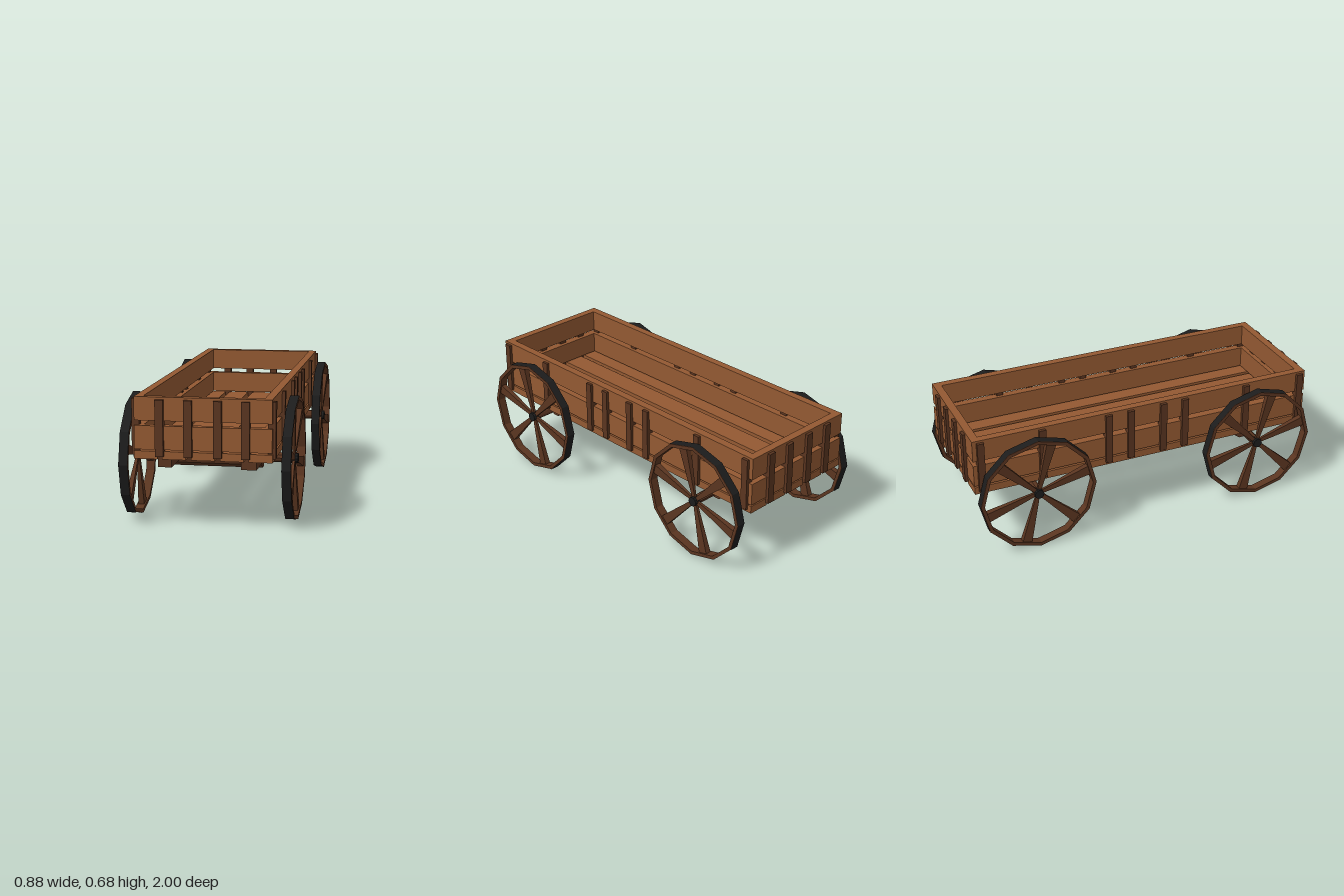
import * as THREE from 'three';

const mat = (color) => new THREE.MeshStandardMaterial({ color, flatShading: true });
const plankMat = mat(0x935932);
const darkMat = mat(0x5a3520);
const ironMat = mat(0x1c1c1c);

// Box given by its minimum and maximum on each axis
function box(parent, name, [x0, x1], [y0, y1], [z0, z1], material) {
  const mesh = new THREE.Mesh(new THREE.BoxGeometry(x1 - x0, y1 - y0, z1 - z0), material);
  mesh.position.set((x0 + x1) / 2, (y0 + y1) / 2, (z0 + z1) / 2);
  mesh.name = name;
  parent.add(mesh);
  return mesh;
}

// Cylinder lying along x
function rod(parent, name, radius, length, sides, x, y, z, material) {
  const geo = new THREE.CylinderGeometry(radius, radius, length, sides).rotateZ(Math.PI / 2);
  const mesh = new THREE.Mesh(geo, material);
  mesh.position.set(x, y, z);
  mesh.name = name;
  parent.add(mesh);
  return mesh;
}

const R = 0.327, RIM = 0.022, WIDTH = 0.047, SIDES = 12, SPOKES = 6;

function makeWheel() {
  const wheel = new THREE.Group();
  wheel.name = 'wheel';

  // Wooden rim: twelve-sided ring extruded along x
  const ring = (r) => Array.from({ length: SIDES }, (_, i) => {
    const a = (i / SIDES) * Math.PI * 2;
    return new THREE.Vector2(Math.cos(a) * r, Math.sin(a) * r);
  });
  const shape = new THREE.Shape(ring(R - 0.002));
  shape.holes.push(new THREE.Path(ring(R - RIM)));
  const rimGeo = new THREE.ExtrudeGeometry(shape, { depth: WIDTH, bevelEnabled: false });
  rimGeo.translate(0, 0, -WIDTH / 2).rotateY(Math.PI / 2);
  const rim = new THREE.Mesh(rimGeo, darkMat);
  rim.name = 'rim';
  wheel.add(rim);

  // Iron tyre around the rim
  const tyreGeo = new THREE.CylinderGeometry(R, R, WIDTH, SIDES, 1, true);
  tyreGeo.rotateZ(Math.PI / 2);
  const tyre = new THREE.Mesh(tyreGeo, ironMat);
  tyre.name = 'tyre';
  wheel.add(tyre);

  // Spokes flare from the hub towards the rim
  const length = R - RIM;
  const spokeGeo = new THREE.CylinderGeometry(0.039, 0.013, length, 4, 1);
  spokeGeo.rotateY(Math.PI / 4).scale(0.6, 1, 1).translate(0, length / 2, 0);
  for (let i = 0; i < SPOKES; i++) {
    const spoke = new THREE.Mesh(spokeGeo, darkMat);
    spoke.rotation.x = Math.PI / 12 + (i / SPOKES) * Math.PI * 2;
    spoke.name = 'spoke';
    wheel.add(spoke);
  }

  // Iron hub cap
  rod(wheel, 'hubCap', 0.026, WIDTH - 0.004, 10, 0, 0, 0, ironMat);
  return wheel;
}

export function createModel() {
  const wagon = new THREE.Group();
  wagon.name = 'wagon';

  // Bed: five floor planks and slatted walls
  const bed = new THREE.Group();
  bed.name = 'bed';
  wagon.add(bed);
  const planks = [[-0.355, -0.235], [-0.21, -0.09], [-0.062, 0.057], [0.083, 0.203], [0.228, 0.347]];
  for (const x of planks) box(bed, 'floorPlank', x, [0.364, 0.405], [-0.983, 0.98], plankMat);

  for (const y of [[0.413, 0.534], [0.56, 0.68]]) {
    box(bed, 'frontSlat', [-0.353, 0.345], y, [0.938, 0.981], plankMat);
    box(bed, 'backSlat', [-0.353, 0.345], y, [-0.984, -0.941], plankMat);
    box(bed, 'sideSlat', [-0.353, -0.31], y, [-0.941, 0.938], plankMat);
    box(bed, 'sideSlat', [0.302, 0.345], y, [-0.941, 0.938], plankMat);
  }

  // Upright battens holding the slats
  const battenY = [0.381, 0.668];
  for (const x of [-0.222, -0.077, 0.073, 0.214]) {
    box(bed, 'frontBatten', [x - 0.021, x + 0.021], battenY, [0.96, 1], darkMat);
    box(bed, 'backBatten', [x - 0.021, x + 0.021], battenY, [-1, -0.96], darkMat);
  }
  for (const z of [0.943, 0.604, 0.228, 0.098, -0.094, -0.223, -0.602, -0.942]) {
    box(bed, 'sideBatten', [-0.37, -0.331], battenY, [z - 0.019, z + 0.019], darkMat);
    box(bed, 'sideBatten', [0.321, 0.361], battenY, [z - 0.019, z + 0.019], darkMat);
  }

  // Undercarriage: two long beams, axles and wheels
  box(wagon, 'beam', [-0.255, -0.183], [0.304, 0.364], [-0.882, 0.886], darkMat);
  box(wagon, 'beam', [0.174, 0.253], [0.304, 0.364], [-0.882, 0.886], darkMat);

  for (const z of [0.655, -0.655]) {
    rod(wagon, 'axleBlock', 0.058, 0.506, 10, -0.001, 0.328, z, darkMat);
    rod(wagon, 'axle', 0.026, 0.8, 10, 0, 0.328, z, darkMat);
    for (const side of [1, -1]) {
      const wheel = makeWheel();
      wheel.position.set(side * 0.414, R, z);
      wagon.add(wheel);
    }
  }
  return wagon;
}
